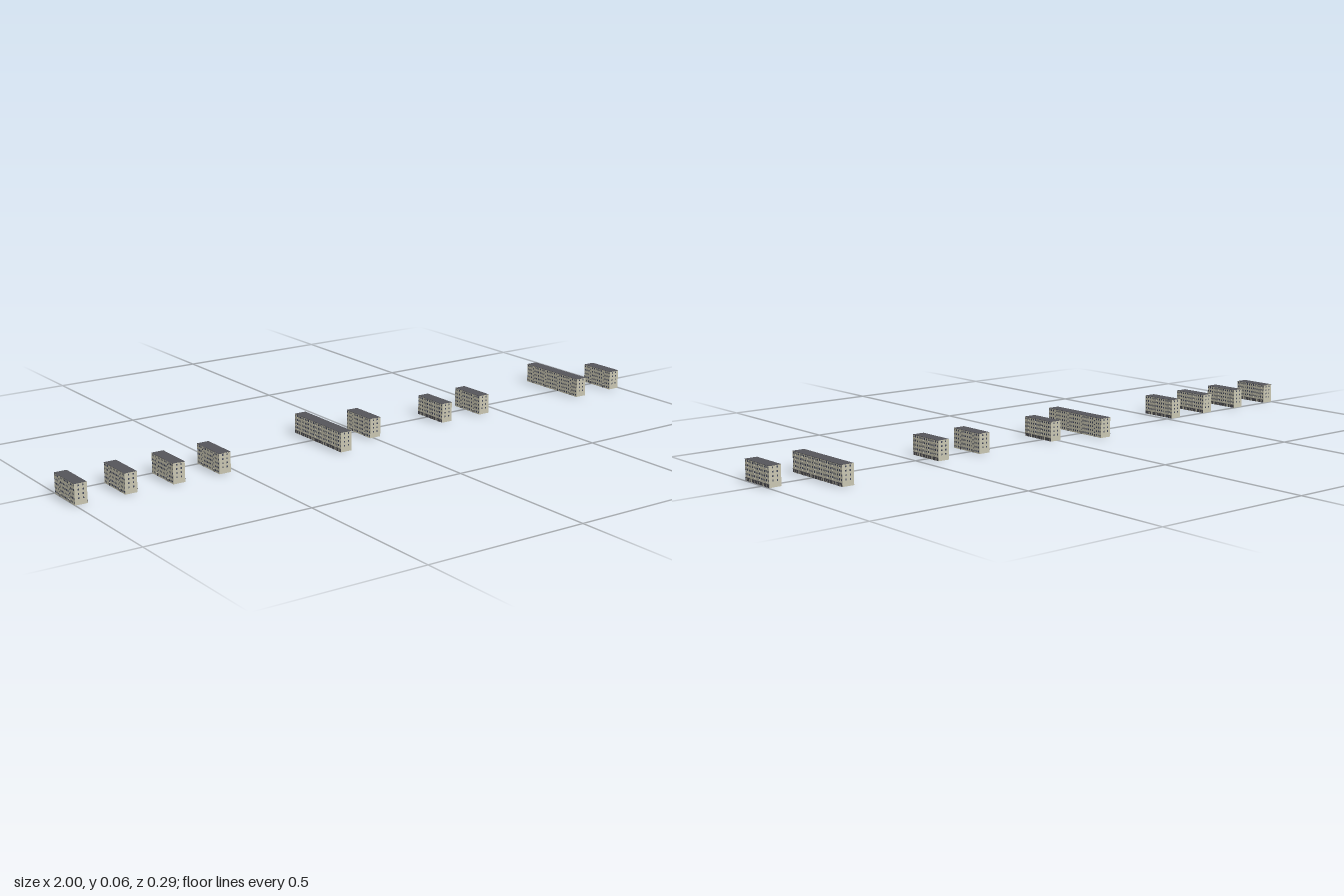
import * as THREE from 'three';
import { mergeGeometries } from 'three/addons/utils/BufferGeometryUtils.js';

const FLOOR = 0.012;            // storey height
const FLOORS = 5;
const HEIGHT = FLOOR * FLOORS;
const SECTION = 0.061;          // length of one stairwell section
const BAYS = 7;
const BAY = SECTION / BAYS;
const DEPTH = 0.037;            // body depth
const BALCONY = 0.004;          // balcony projection

const wallMat = new THREE.MeshStandardMaterial({ color: 0xc9c6b2, side: THREE.DoubleSide });
const trimMat = new THREE.MeshStandardMaterial({ color: 0xb4b1a0 });
const roofMat = new THREE.MeshStandardMaterial({ color: 0x55555a });
const glassMat = new THREE.MeshStandardMaterial({ color: 0x454a5c });
const shopMat = new THREE.MeshStandardMaterial({ color: 0x4c4b50 });

function box(w, h, d, x, y, z) {
  return new THREE.BoxGeometry(w, h, d).translate(x, y, z);
}

function plane(w, h, turn, x, y, z) {
  return new THREE.PlaneGeometry(w, h).rotateY(turn).translate(x, y, z);
}

function addPart(group, name, list, material) {
  const mesh = new THREE.Mesh(mergeGeometries(list), material);
  mesh.name = name;
  group.add(mesh);
}

// One block: street facade on +x, courtyard facade on -x, open underneath
function makeBlock(sections) {
  const block = new THREE.Group();
  const length = sections * SECTION;
  const xs = DEPTH / 2 - BALCONY / 2;   // street wall
  const xc = xs - DEPTH;                // courtyard wall
  const xm = (xs + xc) / 2;
  const walls = [], roof = [], glass = [], shops = [], balconies = [], trim = [];

  // Outer walls
  walls.push(plane(length, HEIGHT, Math.PI / 2, xs, HEIGHT / 2, 0));
  walls.push(plane(length, HEIGHT, -Math.PI / 2, xc, HEIGHT / 2, 0));
  walls.push(plane(DEPTH, HEIGHT, 0, xm, HEIGHT / 2, length / 2));
  walls.push(plane(DEPTH, HEIGHT, Math.PI, xm, HEIGHT / 2, -length / 2));

  // Party walls between sections
  for (let s = 1; s < sections; s++) {
    walls.push(plane(DEPTH, HEIGHT, 0, xm, HEIGHT / 2, s * SECTION - length / 2));
  }

  // Flat roof slab
  roof.push(box(DEPTH + 0.0008, 0.0012, length, xm, HEIGHT - 0.0005, 0));

  for (let s = 0; s < sections; s++) {
    const z0 = s * SECTION - length / 2;
    const mid = z0 + SECTION / 2;

    // Shop fronts with canopy and piers, broken by the entrance
    for (const side of [-1, 1]) {
      const zc = mid + side * SECTION * 0.27;
      const w = SECTION * 0.42;
      shops.push(box(0.0012, 0.008, w, xs + 0.0002, 0.0044, zc));
      shops.push(box(0.002, 0.0012, w, xs + 0.001, 0.0094, zc));
      for (let p = -1; p <= 1; p++) {
        trim.push(box(0.001, 0.008, 0.001, xs + 0.0007, 0.004, zc + p * w * 0.25));
      }
    }
    shops.push(box(0.001, 0.009, 0.005, xc, 0.0045, mid));
    trim.push(box(0.004, 0.0008, 0.008, xc - 0.001, 0.0098, mid));

    for (let f = 0; f < FLOORS; f++) {
      const y = f * FLOOR + FLOOR * 0.55;
      for (let b = 0; b < BAYS; b++) {
        const z = z0 + (b + 0.5) * BAY;
        const stair = b === (BAYS - 1) / 2;
        // Courtyard windows, with stair lights halfway between storeys
        if (!stair) glass.push(box(0.0006, 0.0052, 0.004, xc, y, z));
        else if (f > 0) glass.push(box(0.0006, 0.004, 0.003, xc, y - FLOOR / 2 + 0.001, z));
        if (f === 0) continue;
        // Street windows, taller behind the balconies
        const hasBalcony = b === 1 || b === BAYS - 2;
        const h = hasBalcony ? 0.0075 : 0.0052;
        glass.push(box(0.0006, h, stair ? 0.003 : 0.0042, xs, y, z));
        if (hasBalcony) {
          const yb = f * FLOOR + 0.001;
          const x = xs + BALCONY / 2;
          const w = BAY * 0.95;
          balconies.push(box(BALCONY, 0.0007, w, x, yb, z));
          balconies.push(box(0.0004, 0.0042, w, xs + BALCONY - 0.0002, yb + 0.002, z));
          for (const e of [-1, 1]) {
            balconies.push(box(BALCONY, 0.0042, 0.0004, x, yb + 0.002, z + e * (w / 2 - 0.0002)));
          }
        }
      }
    }
  }

  // Windows in the end walls
  for (const end of [-1, 1]) {
    for (let f = 1; f < FLOORS; f++) {
      for (const dx of [-0.007, 0.007]) {
        glass.push(box(0.0038, 0.005, 0.0006, xm + dx, f * FLOOR + FLOOR * 0.55, end * length / 2));
      }
    }
  }

  addPart(block, 'walls', walls, wallMat);
  addPart(block, 'roof', roof, roofMat);
  addPart(block, 'windows', glass, glassMat);
  addPart(block, 'shopFronts', shops, shopMat);
  addPart(block, 'balconies', balconies, trimMat);
  addPart(block, 'trim', trim, trimMat);
  return block;
}

export function createModel() {
  const model = new THREE.Group();
  model.name = 'apartmentBlocks';

  // x, z, sections, street side (+1 faces +x, -1 faces -x)
  const layout = [
    [-0.98, 0.064, 2, 1], [-0.83, 0.061, 2, 1], [-0.682, 0.06, 2, 1], [-0.534, 0.057, 2, 1],
    [-0.145, 0.025, 4, -1], [0.01, 0.021, 2, 1], [0.283, 0.016, 2, -1], [0.438, 0.012, 2, 1],
    [0.827, -0.025, 4, 1], [0.98, 0.029, 2, 1],
  ];
  layout.forEach(([x, z, sections, side], i) => {
    const block = makeBlock(sections);
    block.name = (sections > 2 ? 'longBlock' : 'shortBlock') + (i + 1);
    block.position.set(x, 0, z);
    if (side < 0) block.rotation.y = Math.PI;
    model.add(block);
  });
  return model;
}
